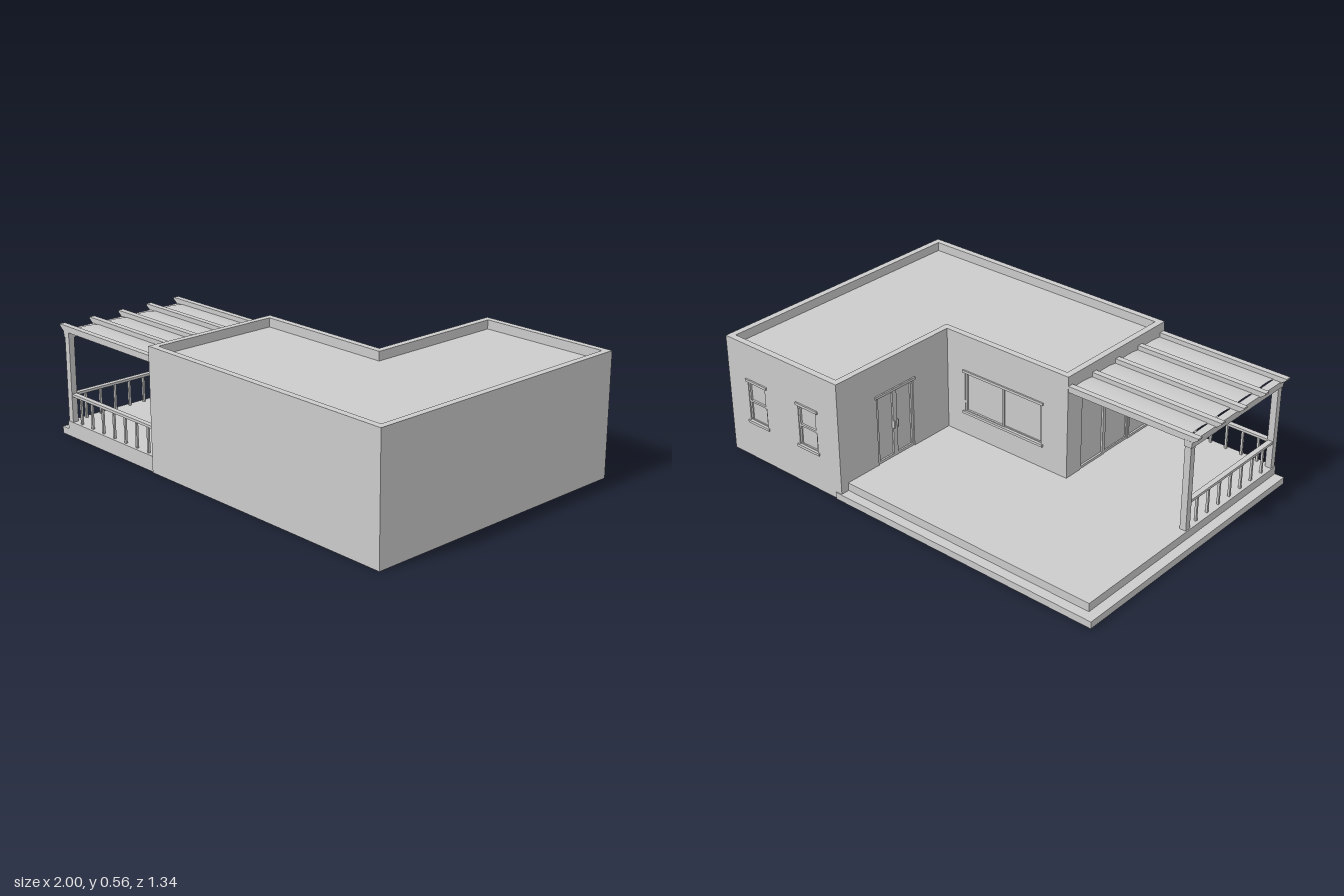
import * as THREE from 'three';

const mat = new THREE.MeshStandardMaterial({ color: 0xcccccc, flatShading: true });
const smooth = new THREE.MeshStandardMaterial({ color: 0xcccccc, side: THREE.DoubleSide });

const T = 0.012; // depth of the window and door recesses
const ROOF = 0.515, TOP = 0.556, DECK = 0.07;

// Box given by its minimum and maximum corners
function box(parent, name, x0, x1, y0, y1, z0, z1) {
  const m = new THREE.Mesh(new THREE.BoxGeometry(x1 - x0, y1 - y0, z1 - z0), mat);
  m.position.set((x0 + x1) / 2, (y0 + y1) / 2, (z0 + z1) / 2);
  m.name = name;
  parent.add(m);
  return m;
}

// L-shaped plan; a = inset of the outer walls, b = inset of the walls facing the terrace
function plan(a, b) {
  return [[-0.34 + b, -0.665 + a], [1 - a, -0.665 + a], [1 - a, 0.665 - b],
    [0.33 + b, 0.665 - b], [0.33 + b, -b], [-0.34 + b, -b]].map(([x, y]) => new THREE.Vector2(x, y));
}

// Extrude a plan (x, -z) upwards from y0 to y1
function storey(parent, name, outer, hole, y0, y1) {
  const s = new THREE.Shape(outer);
  if (hole) s.holes.push(new THREE.Path(hole));
  const g = new THREE.ExtrudeGeometry(s, { depth: y1 - y0, bevelEnabled: false });
  g.rotateX(-Math.PI / 2).translate(0, y0, 0);
  const m = new THREE.Mesh(g, mat);
  m.name = name;
  parent.add(m);
}

// Wall skin with openings [u0, u1, y0, y1], outer face on local z = 0
function facade(parent, name, x, z, turn, width, openings) {
  const g = new THREE.Group();
  g.name = name;
  g.position.set(x, 0, z);
  g.rotation.y = turn;
  const rect = (C, a, b, c, d) => new C([[a, c], [b, c], [b, d], [a, d]].map(p => new THREE.Vector2(...p)));
  const s = rect(THREE.Shape, 0, width, 0, ROOF);
  for (const o of openings) s.holes.push(rect(THREE.Path, ...o));
  const m = new THREE.Mesh(new THREE.ExtrudeGeometry(s, { depth: T, bevelEnabled: false }), mat);
  m.position.z = -T;
  m.name = 'wallSkin';
  g.add(m);
  parent.add(g);
  return g;
}

// Rectangular frame set into a recess
function frame(g, name, u0, u1, y0, y1, z, w = 0.009) {
  box(g, name, u0, u0 + w, y0, y1, -T, z);
  box(g, name, u1 - w, u1, y0, y1, -T, z);
  box(g, name, u0 + w, u1 - w, y0, y0 + w, -T, z);
  box(g, name, u0 + w, u1 - w, y1 - w, y1, -T, z);
}

// Lintel and sill across an opening
function trim(g, u0, u1, y0, y1, sill = true) {
  box(g, 'lintel', u0 - 0.01, u1 + 0.01, y1 - 0.005, y1 + 0.007, -T, 0.007);
  if (sill) box(g, 'sill', u0 - 0.01, u1 + 0.01, y0 - 0.007, y0 + 0.005, -T, 0.007);
}

function buildHouse(parent) {
  const house = new THREE.Group();
  house.name = 'house';
  parent.add(house);
  storey(house, 'walls', plan(0, T), null, 0, ROOF);
  storey(house, 'parapet', plan(0, 0), plan(0.03, 0.03), ROOF, TOP);

  // Sash windows in the rear wall
  const sashes = [[0.12, 0.23, 0.18, 0.38], [0.43, 0.54, 0.18, 0.38]];
  const rear = facade(house, 'rearWall', 1, -0.665, Math.PI, 0.67, sashes);
  for (const [a, b, c, d] of sashes) {
    const mid = (c + d) / 2;
    frame(rear, 'upperSash', a, b, mid - 0.004, d, -0.003);
    frame(rear, 'lowerSash', a, b, c, mid + 0.004, -0.006);
    trim(rear, a, b, c, d);
  }

  // Double entrance door
  const door = [0.225, 0.445, DECK, 0.4];
  const entry = facade(house, 'entryWall', 0.33, -0.665, -Math.PI / 2, 0.665, [door]);
  frame(entry, 'doorLeaf', door[0], 0.335, DECK, 0.4, -0.004, 0.012);
  frame(entry, 'doorLeaf', 0.335, door[1], DECK, 0.4, -0.004, 0.012);
  for (const u of [0.322, 0.343]) box(entry, 'doorHandle', u, u + 0.005, 0.21, 0.245, -0.005, 0.004);
  trim(entry, ...door, false);

  // Wide sliding window
  const wide = [0.1, 0.53, 0.18, 0.38];
  const court = facade(house, 'terraceWall', 0.33, 0, Math.PI, 0.67, [wide]);
  frame(court, 'windowPane', 0.1, 0.32, 0.18, 0.38, -0.003);
  frame(court, 'windowPane', 0.31, 0.53, 0.18, 0.38, -0.006);
  trim(court, ...wide);

  // Sliding doors beneath the pergola
  const porch = facade(house, 'porchWall', -0.34, 0, -Math.PI / 2, 0.665, [[0.09, 0.6, DECK, 0.43]]);
  for (let i = 0; i < 3; i++) {
    frame(porch, 'slidingDoor', 0.09 + i * 0.17, 0.26 + i * 0.17, DECK, 0.43, i % 2 ? -0.006 : -0.003, 0.011);
  }
}

function buildPergola(parent) {
  const pergola = new THREE.Group();
  pergola.name = 'pergola';
  parent.add(pergola);
  for (const z of [0.005, 0.63]) box(pergola, 'post', -0.95, -0.92, DECK, 0.465, z, z + 0.028);
  box(pergola, 'beam', -0.955, -0.92, 0.46, 0.49, 0, 0.66);

  // Rafters with chamfered tails
  const profile = new THREE.Shape([[-0.34, 0.485], [-0.955, 0.485], [-0.982, 0.505], [-0.982, 0.513], [-0.34, 0.513]]
    .map(p => new THREE.Vector2(...p)));
  const rafter = new THREE.ExtrudeGeometry(profile, { depth: 0.027, bevelEnabled: false });
  const pitch = 0.158;
  for (let i = 0; i < 5; i++) {
    const m = new THREE.Mesh(rafter, mat);
    m.position.z = 0.001 + i * pitch;
    m.name = 'rafter';
    pergola.add(m);
  }

  // Gently arched roof sheets between the rafters
  for (let i = 0; i < 4; i++) {
    const g = new THREE.PlaneGeometry(0.58, 0.131, 1, 8).rotateX(-Math.PI / 2);
    const p = g.attributes.position;
    for (let k = 0; k < p.count; k++) p.setY(k, 0.006 * (1 - (p.getZ(k) / 0.0655) ** 2));
    g.computeVertexNormals();
    const m = new THREE.Mesh(g, smooth);
    m.position.set(-0.63, 0.492, 0.0935 + i * pitch);
    m.name = 'roofSheet';
    pergola.add(m);
  }
}

function buildRailing(parent) {
  const railing = new THREE.Group();
  railing.name = 'railing';
  parent.add(railing);
  box(railing, 'frontRail', -0.92, -0.34, 0.19, 0.202, 0.632, 0.656);
  box(railing, 'sideRail', -0.947, -0.923, 0.19, 0.202, 0.033, 0.63);
  for (let i = 0; i < 7; i++) {
    const x = -0.87 + i * 0.08, z = 0.095 + i * 0.08;
    box(railing, 'baluster', x - 0.005, x + 0.005, DECK, 0.19, 0.639, 0.649);
    box(railing, 'baluster', -0.94, -0.93, DECK, 0.19, z - 0.005, z + 0.005);
  }
}

export function createModel() {
  const model = new THREE.Group();
  model.name = 'bungalow';
  // Two-step terrace
  box(model, 'lowerStep', -1, 0.36, 0, 0.032, -0.67, 0.66);
  box(model, 'deck', -0.955, 0.36, 0.032, DECK, -0.625, 0.66);
  buildHouse(model);
  buildPergola(model);
  buildRailing(model);
  return model;
}
